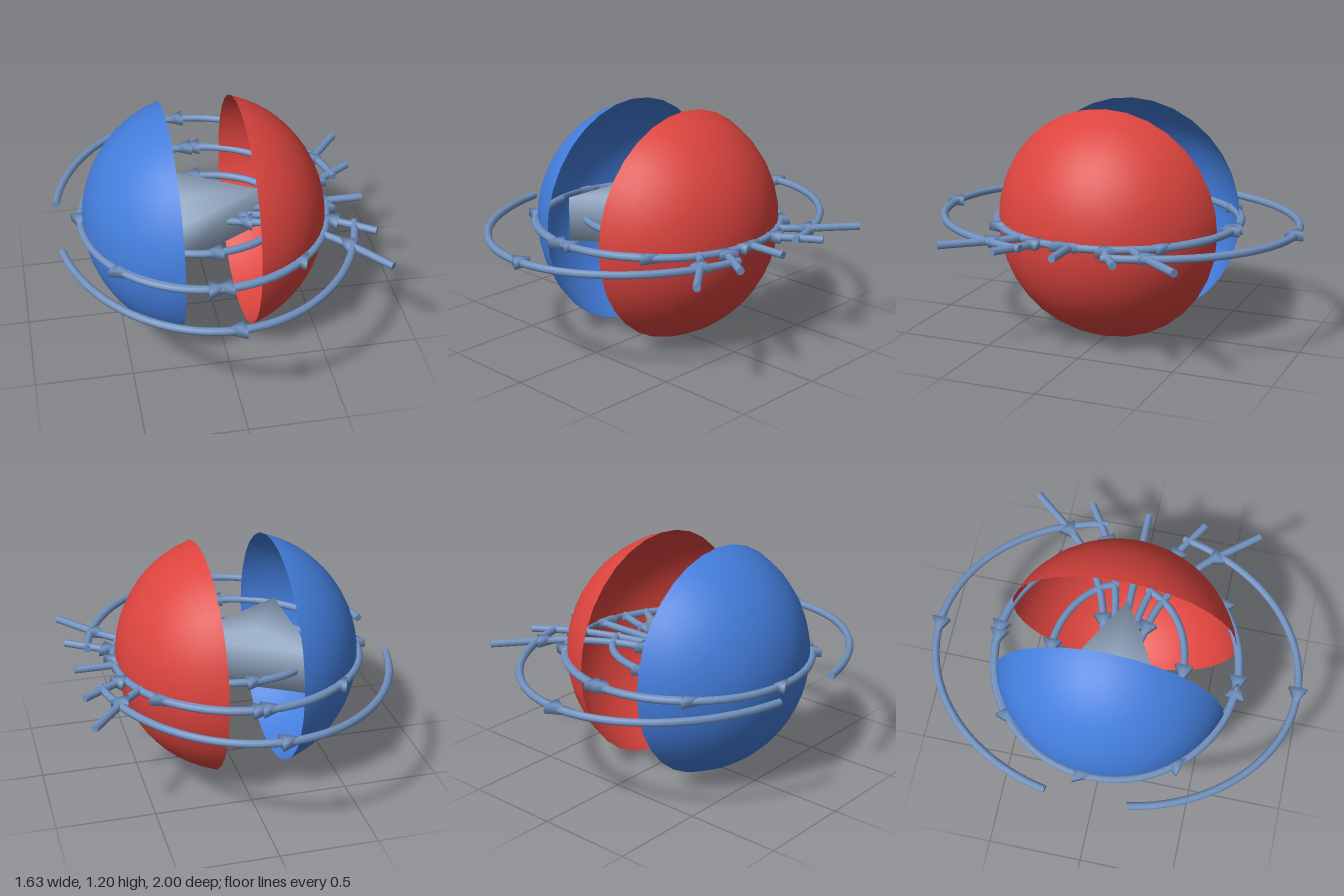
import * as THREE from 'three';
import { mergeVertices } from 'three/addons/utils/BufferGeometryUtils.js';

const CX = -0.047; // x of the common centre
const CY = 0.6; // height of the field plane

const flat = (name, color, side = THREE.FrontSide) => {
  const m = new THREE.MeshStandardMaterial({ color, side });
  m.name = name;
  return m;
};

export function createModel() {
  const root = new THREE.Group();
  const red = flat('red', 0xdc443e, THREE.DoubleSide);
  const blue = flat('blue', 0x437ddb, THREE.DoubleSide);
  const steel = flat('steel', 0x7292c0);
  const pale = flat('pale steel', 0x9fb4d0);

  const add = (name, geometry, material, x = 0, y = CY, z = 0) => {
    const mesh = new THREE.Mesh(geometry, material);
    mesh.name = name;
    mesh.position.set(x, y, z);
    root.add(mesh);
    return mesh;
  };

  // Triangular prism with one corner towards +z and softly blended normals
  const prism = (radius, height) => {
    const g = new THREE.CylinderGeometry(radius, radius, height, 3);
    g.deleteAttribute('uv');
    g.deleteAttribute('normal');
    const merged = mergeVertices(g);
    merged.computeVertexNormals();
    return merged;
  };

  // Arrowhead lying in the field plane, pointing along (dx, dz)
  const arrowShape = prism(0.056, 0.042);
  const arrow = (x, z, dx, dz) => {
    add('arrowhead', arrowShape, steel, x, CY, z).rotation.y = Math.atan2(dx, dz);
  };

  // Round line through the field plane, closed at both ends
  const disc = new THREE.CircleGeometry(0.02, 8);
  const line = (name, pts, segments) => {
    const curve = new THREE.CatmullRomCurve3(pts.map(([x, z]) => new THREE.Vector3(x, 0, z)));
    add(name, new THREE.TubeGeometry(curve, segments, 0.02, 8), steel);
    for (const [t, sign] of [[0, -1], [1, 1]]) {
      const p = curve.getPoint(t);
      const d = curve.getTangent(t).multiplyScalar(sign);
      add(name + 'End', disc, steel, p.x, CY, p.z).rotation.y = Math.atan2(d.x, d.z);
    }
    return curve;
  };

  // Two open shells facing each other
  for (const [name, material, side] of [['redShell', red, 1], ['blueShell', blue, -1]]) {
    const shell = new THREE.SphereGeometry(0.629, 32, 12, 0, Math.PI * 2, 0, 1.267);
    shell.rotateZ(-side * Math.PI / 2);
    add(name, shell, material, CX);
  }

  // Central wedge pointing at the red shell
  add('centralWedge', prism(0.4, 0.23), pale, -0.155).rotation.y = Math.PI / 2;

  // Equatorial ring with arrows circling it
  const ring = new THREE.TorusGeometry(0.64, 0.02, 8, 64);
  ring.rotateX(Math.PI / 2);
  add('equatorRing', ring, steel, CX);
  for (let i = 0; i < 8; i++) {
    const a = THREE.MathUtils.degToRad(45 * i - 5);
    arrow(CX + 0.64 * Math.cos(a), -0.64 * Math.sin(a), -Math.sin(a), -Math.cos(a));
  }

  // Nested elliptical field arcs, mirrored front and back
  for (const side of [1, -1]) {
    for (const [a, b] of [[0.43, 0.35], [0.61, 0.635], [0.77, 0.95]]) {
      const pts = [];
      for (let i = 0; i <= 24; i++) {
        const t = 0.223 + (Math.PI - 0.446) * i / 24;
        pts.push([CX + a * Math.cos(t), side * b * Math.sin(t)]);
      }
      line('fieldArc', pts, 48);
      arrow(CX + 0.01, side * b, -1, 0);
    }
  }

  // Lines gathering through the red shell towards the wedge
  const inflow = (pts) => {
    const curve = line('inflowLine', pts, 24);
    for (const t of [0.29, 0.88]) {
      const p = curve.getPointAt(t);
      const d = curve.getTangentAt(t);
      arrow(p.x, p.z, d.x, d.z);
    }
  };
  inflow([[0.8, 0], [0.4, 0], [0.05, 0]]);
  for (const s of [1, -1]) {
    inflow([[0.8, s * 0.61], [0.54, s * 0.31], [0.3, s * 0.16], [0.05, s * 0.09]]);
    inflow([[0.8, s * 0.31], [0.57, s * 0.17], [0.3, s * 0.08], [0.05, s * 0.04]]);
  }

  return root;
}
